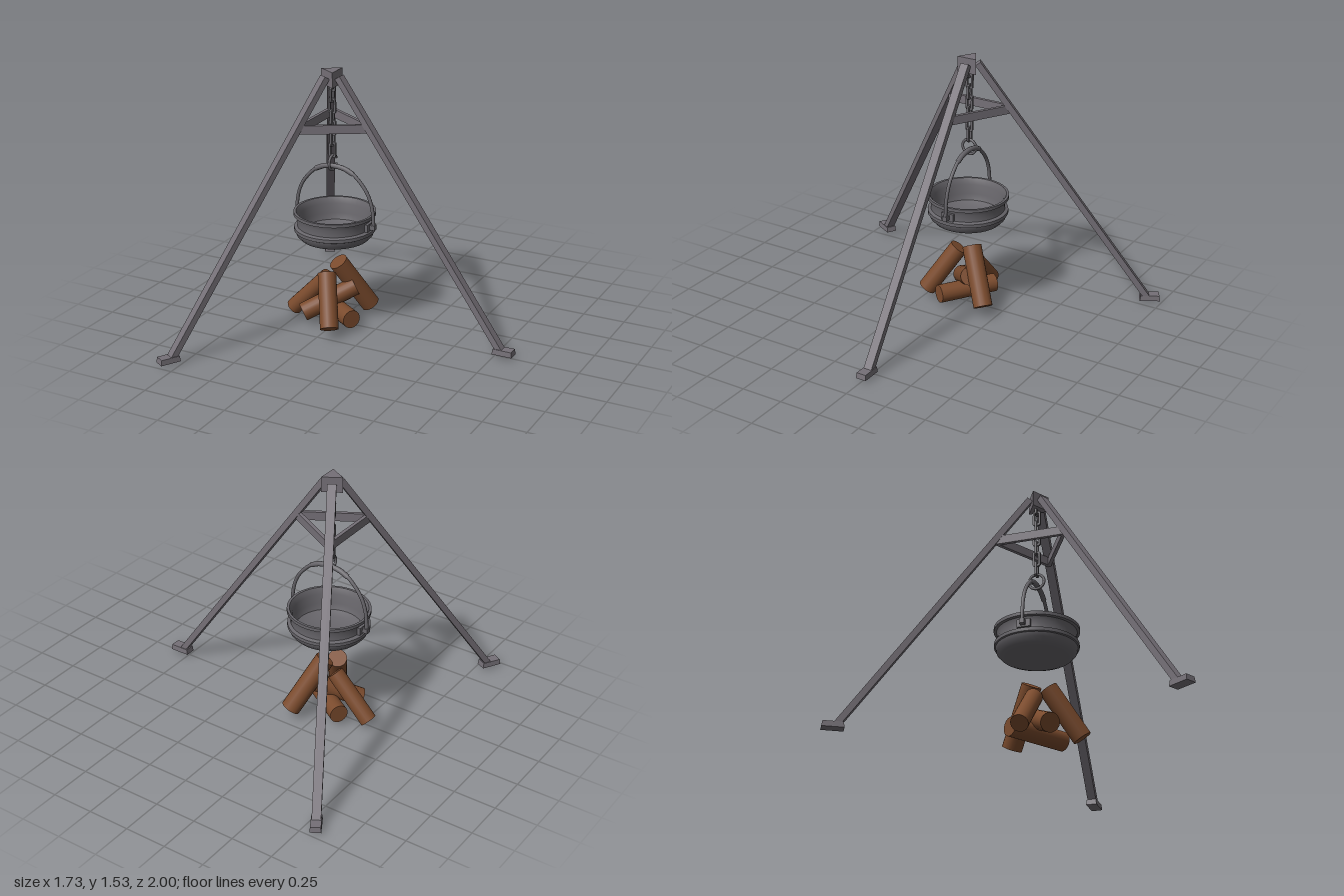
import * as THREE from 'three';
import { toCreasedNormals } from 'three/addons/utils/BufferGeometryUtils.js';

const V = (x, y, z) => new THREE.Vector3(x, y, z);

export function createModel() {
  const model = new THREE.Group();
  model.name = 'campfireTripod';
  const frameIron = new THREE.MeshStandardMaterial({ name: 'frameIron', color: 0x757077 });
  const potIron = new THREE.MeshStandardMaterial({ name: 'potIron', color: 0x67656a });
  const wood = new THREE.MeshStandardMaterial({ name: 'wood', color: 0x7b4b2d });

  const add = (parent, name, geometry, material, x = 0, y = 0, z = 0) => {
    const mesh = new THREE.Mesh(geometry, material);
    mesh.name = name;
    mesh.position.set(x, y, z);
    parent.add(mesh);
    return mesh;
  };

  // Tripod: everything turns about the vertical axis under the cap
  const tripod = new THREE.Group();
  tripod.name = 'tripod';
  tripod.position.x = -0.273;
  model.add(tripod);

  const cap = add(tripod, 'apexCap',
    toCreasedNormals(new THREE.CylinderGeometry(0.068, 0.068, 0.09, 3), 0.5), frameIron, 0, 1.492, 0);
  cap.rotation.y = -Math.PI / 2; // one flat side towards each leg

  const legBottom = V(1.055, 0.05, 0), legTop = V(0.045, 1.5, 0);
  const legDir = legTop.clone().sub(legBottom);
  const braceRadius = 0.225;
  for (let i = 0; i < 3; i++) {
    const arm = new THREE.Group();
    arm.name = 'tripodSide' + (i + 1);
    arm.rotation.y = i * Math.PI * 2 / 3;
    tripod.add(arm);

    const leg = add(arm, 'leg', new THREE.BoxGeometry(0.035, legDir.length(), 0.05), frameIron);
    leg.position.copy(legBottom).add(legTop).multiplyScalar(0.5);
    leg.quaternion.setFromUnitVectors(V(0, 1, 0), legDir.clone().normalize());

    // Foot plate, slightly narrower at the top
    const foot = new THREE.CylinderGeometry(0.055, 0.06, 0.032, 4, 1).toNonIndexed();
    foot.rotateY(Math.PI / 4);
    foot.scale(1.42, 1, 0.74);
    foot.computeVertexNormals();
    add(arm, 'foot', foot, frameIron, 1.075, 0.044, 0);

    // Cross brace from this leg to the next
    const brace = new THREE.Group();
    brace.rotation.y = Math.PI / 3;
    arm.add(brace);
    add(brace, 'crossBrace', new THREE.BoxGeometry(0.02, 0.05, braceRadius * Math.sqrt(3)),
      frameIron, braceRadius / 2, 1.225, 0);
  }

  // Chain of flat links, each turned a quarter from the next
  const linkOutline = (w, h, c) => [
    [w - c, -h], [w, c - h], [w, h - c], [w - c, h], [c - w, h], [-w, h - c], [-w, c - h], [c - w, -h],
  ].map(([x, y]) => new THREE.Vector2(x, y));
  const linkShape = new THREE.Shape(linkOutline(0.0225, 0.046, 0.008));
  linkShape.holes.push(new THREE.Path(linkOutline(0.011, 0.034, 0.004).reverse()));
  const linkGeometry = new THREE.ExtrudeGeometry(linkShape, { depth: 0.012, bevelEnabled: false });
  linkGeometry.translate(0, 0, -0.006);
  const chain = new THREE.Group();
  chain.name = 'chain';
  model.add(chain);
  for (let i = 0; i < 7; i++) {
    const link = add(chain, 'chainLink', linkGeometry, potIron, -0.273, 1.07 + i * 0.0645, 0);
    link.rotation.y = i % 2 ? Math.PI / 2 : 0;
  }

  // Open ring hook, with its gap towards the back
  const hookGeometry = new THREE.TorusGeometry(0.044, 0.008, 8, 28, Math.PI * 1.78);
  hookGeometry.rotateZ(Math.PI * 0.11);
  hookGeometry.rotateY(Math.PI / 2);
  add(model, 'hook', hookGeometry, potIron, -0.273, 0.993, 0);

  // Pot: outer wall from the base up, over the rim and down the inside
  const pot = new THREE.Group();
  pot.name = 'pot';
  pot.position.x = -0.263;
  model.add(pot);
  const profile = [
    [0, 0.53], [0.17, 0.532], [0.198, 0.542], [0.22, 0.565], [0.226, 0.588],
    [0.234, 0.592], [0.234, 0.612], [0.216, 0.62], [0.214, 0.66], [0.222, 0.682],
    [0.237, 0.686], [0.237, 0.705], [0.222, 0.705], [0.204, 0.67], [0.203, 0.61],
    [0.19, 0.575], [0.15, 0.553], [0, 0.548],
  ].map(([x, y]) => new THREE.Vector2(x, y));
  add(pot, 'potBowl', toCreasedNormals(new THREE.LatheGeometry(profile, 40), 0.6), potIron);
  for (const s of [1, -1]) {
    add(pot, 'potEar', new THREE.BoxGeometry(0.026, 0.045, 0.075), potIron, s * 0.217, 0.642, 0);
    add(pot, 'handlePin', new THREE.BoxGeometry(0.05, 0.028, 0.028), potIron, s * 0.237, 0.642, 0);
  }

  // Arched carrying handle with a thicker middle
  const half = [[0.25, 0.64], [0.245, 0.72], [0.232, 0.785], [0.2, 0.855], [0.12, 0.94], [0.065, 0.964]];
  const arch = [...half, [0, 0.972], ...half.map(([x, y]) => [-x, y]).reverse()];
  const tube = (points, radius) => new THREE.TubeGeometry(
    new THREE.CatmullRomCurve3(points.map(([x, y]) => V(x, y, 0))), 40, radius, 8);
  add(pot, 'handle', tube(arch, 0.0105), potIron);
  add(pot, 'handleGrip', tube(arch.slice(4, 9), 0.015), potIron);

  // Stacked firewood: lower end, upper end
  const logs = [
    [V(-0.542, 0.045, 0), V(-0.31, 0.285, 0), 0.049],
    [V(-0.18, 0.068, 0.23), V(-0.28, 0.335, 0.07), 0.054],
    [V(-0.13, 0.075, -0.185), V(-0.26, 0.375, -0.03), 0.056],
    [V(-0.41, 0.085, 0.125), V(-0.17, 0.225, -0.07), 0.054],
    [V(-0.405, 0.092, -0.1), V(-0.105, 0.092, 0.1), 0.054],
  ];
  const firewood = new THREE.Group();
  firewood.name = 'firewood';
  model.add(firewood);
  for (const [low, high, radius] of logs) {
    const dir = high.clone().sub(low);
    const log = add(firewood, 'log', new THREE.CylinderGeometry(radius, radius, dir.length(), 20), wood);
    log.position.copy(low).add(high).multiplyScalar(0.5);
    log.quaternion.setFromUnitVectors(V(0, 1, 0), dir.normalize());
  }
  return model;
}
